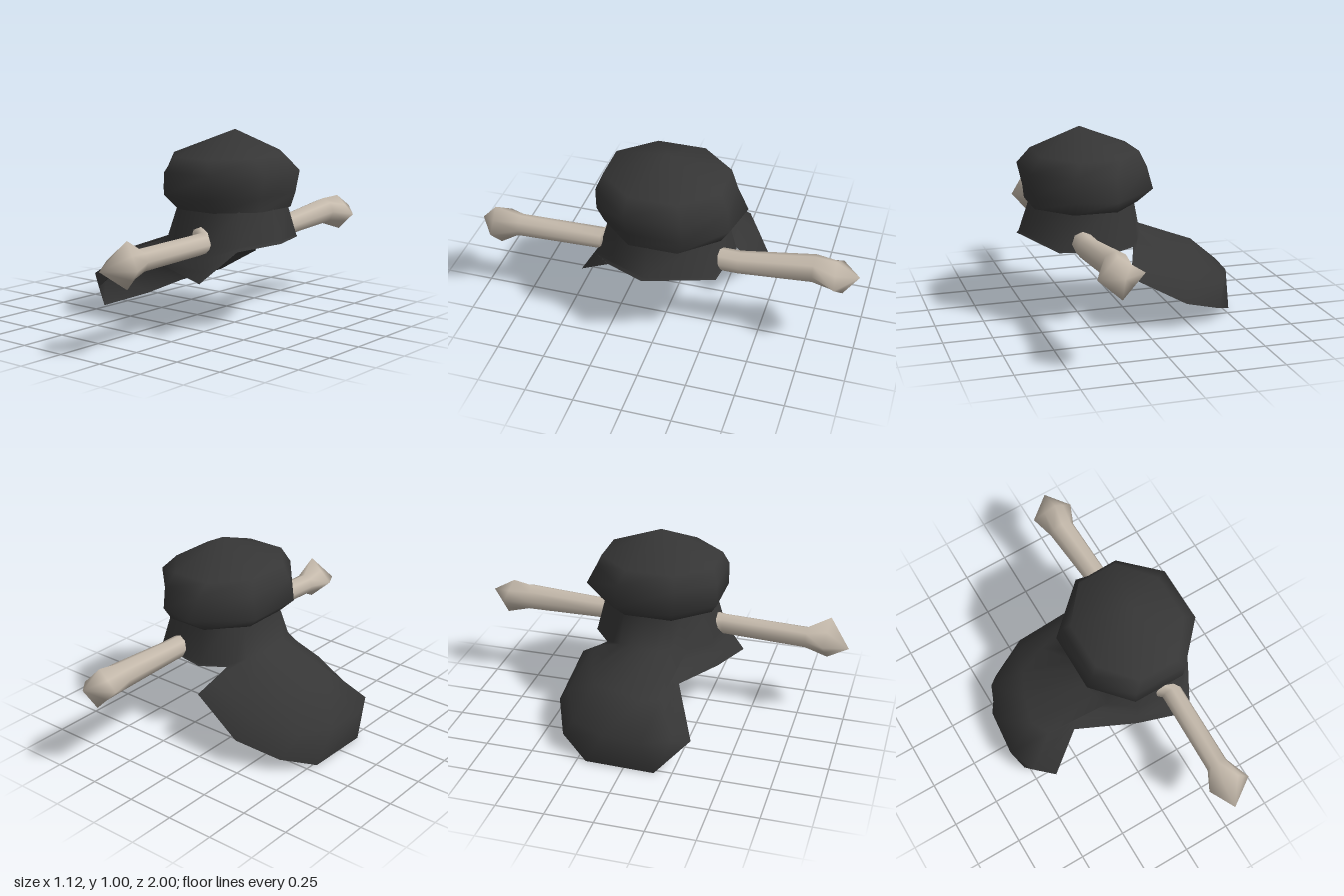
import * as THREE from 'three';
import { mergeVertices } from 'three/addons/utils/BufferGeometryUtils.js';

// Skin a stack of equal-length rings of [x, y, z] points into a smooth surface
function loft(rings) {
  const n = rings[0].length;
  const index = [];
  for (let i = 0; i < rings.length - 1; i++) {
    for (let j = 0; j < n; j++) {
      const k = (j + 1) % n;
      const a = i * n + j, b = i * n + k, c = a + n, d = b + n;
      index.push(a, c, b, b, c, d);
    }
  }
  const g = new THREE.BufferGeometry();
  g.setAttribute('position', new THREE.Float32BufferAttribute(rings.flat(2), 3));
  g.setIndex(index);
  const merged = mergeVertices(g); // rings collapsed to a point share one normal
  merged.computeVertexNormals();
  return merged;
}

const mix = (a, b, t) => a.map((v, i) => v + (b[i] - v) * t);

export function createModel() {
  const group = new THREE.Group();
  const hair = new THREE.MeshStandardMaterial({ color: 0x363636, side: THREE.DoubleSide });
  hair.name = 'charcoal hair';
  const bone = new THREE.MeshStandardMaterial({ color: 0xc4b9ab, side: THREE.DoubleSide });
  bone.name = 'pale bone';

  const add = (name, geometry, material) => {
    const mesh = new THREE.Mesh(geometry, material);
    mesh.name = name;
    group.add(mesh);
  };

  // Bun: slightly uneven eight-sided rings, closing at a point
  const octagon = (y, cx, cz, rx, rz) => Array.from({ length: 8 }, (_, j) => {
    const a = (j + 0.5) * Math.PI / 4;
    return [cx + rx * Math.cos(a), y, cz + rz * Math.sin(a)];
  });
  const level = (y, points) => points.map(([x, z]) => [x, y, z]);
  add('bun', loft([
    octagon(0.615, 0.23, -0.01, 0.29, 0.325),
    level(0.685, [[0.505, 0.12], [0.34, 0.33], [0.06, 0.33], [-0.11, 0.14],
      [-0.11, -0.17], [0.14, -0.4], [0.35, -0.355], [0.505, -0.165]]),
    level(0.8, [[0.53, 0.13], [0.345, 0.33], [0.06, 0.33], [-0.08, 0.14],
      [-0.08, -0.16], [0.13, -0.34], [0.345, -0.345], [0.53, -0.165]]),
    octagon(0.875, 0.205, 0, 0.277, 0.325),
    octagon(1.0, 0.235, -0.015, 0, 0),
  ]), hair);

  // Neck flowing into a short skirt and a drooping hollow tail at -x
  const rim = [
    [0.56, 0.455, 0.03], [0.45, 0.43, 0.24], [0.36, 0.29, 0.42], [0.08, 0.325, 0.34],
    [-0.23, 0.365, 0.21], [-0.41, 0.15, 0.32], [-0.525, 0.003, 0.16], [-0.525, 0.01, -0.2],
    [-0.41, 0.075, -0.36], [-0.2, 0.15, -0.45], [0.08, 0.3, -0.41],
    [0.02, 0.41, -0.25], [0.13, 0.42, -0.345], [0.42, 0.43, -0.31],
  ];
  const neckBase = [
    [0.55, 0.47, 0.02], [0.45, 0.45, 0.22], [0.33, 0.45, 0.32], [0.1, 0.45, 0.3],
    [-0.03, 0.45, 0.2], [-0.06, 0.45, 0.12], [-0.075, 0.45, 0.05], [-0.075, 0.45, -0.04],
    [-0.06, 0.45, -0.1], [-0.04, 0.44, -0.16], [-0.01, 0.43, -0.21],
    [0.02, 0.42, -0.25], [0.13, 0.43, -0.34], [0.42, 0.44, -0.3],
  ];
  // Bulging points of the tail, by column
  const tailOuter = {
    4: [-0.2, 0.385, 0.16], 5: [-0.505, 0.2, 0.25], 6: [-0.565, 0.19, 0.1],
    7: [-0.545, 0.19, -0.1], 8: [-0.47, 0.2, -0.28], 9: [-0.25, 0.25, -0.38],
  };
  const tailInner = {
    4: [-0.12, 0.415, 0.16], 5: [-0.35, 0.335, 0.15], 6: [-0.4, 0.332, 0.06],
    7: [-0.365, 0.355, -0.08], 8: [-0.3, 0.33, -0.22], 9: [-0.15, 0.34, -0.28],
  };
  const outer = rim.map((p, j) => tailOuter[j] || mix(p, neckBase[j], 0.33));
  const inner = rim.map((p, j) => tailInner[j] || mix(p, neckBase[j], 0.67));
  const waist = neckBase.map(([x, , z]) => {
    const a = Math.atan2((z + 0.01) / 0.3, (x - 0.23) / 0.27);
    return [0.23 + 0.27 * Math.cos(a), 0.62, -0.01 + 0.3 * Math.sin(a)];
  });
  add('neckAndTail', loft([rim, outer, inner, neckBase, waist]), hair);

  // Underside closing the neck beneath the pin, running on into the tail
  const edge = [rim[0], rim[1], ...inner.slice(2, 4), ...neckBase.slice(4, 11), ...rim.slice(11)];
  add('neckUnderside', loft([edge.map(() => [0.29, 0.4, 0]), edge]), hair);

  // Bone pin: round shaft sections [x, y, z, radius]
  const shaft = (x, y, z, r) => Array.from({ length: 8 }, (_, j) => {
    const a = j * Math.PI / 4;
    return [x + r * Math.cos(a), y + r * Math.sin(a), z];
  });
  // Four-cornered knob section, with a midpoint on each edge
  const knob = (corners) => corners.flatMap((p, j) => [p, mix(p, corners[(j + 1) % 4], 0.5)]);
  add('bonePin', loft([
    shaft(0.255, 0.43, 1.0, 0),
    knob([[0.4, 0.435, 0.9], [0.325, 0.565, 0.89], [0.18, 0.455, 0.87], [0.315, 0.335, 0.88]]),
    shaft(0.29, 0.45, 0.77, 0.057),
    shaft(0.295, 0.465, 0.32, 0.055),
    shaft(0.265, 0.48, 0.295, 0.062),
    shaft(0.295, 0.47, 0.2, 0.055),
    shaft(0.295, 0.468, -0.4, 0.058),
    shaft(0.268, 0.492, -0.77, 0.07),
    knob([[0.39, 0.47, -0.89], [0.29, 0.57, -0.88], [0.165, 0.49, -0.9], [0.28, 0.375, -0.92]]),
    shaft(0.29, 0.5, -1.0, 0),
  ]), bone);

  return group;
}
